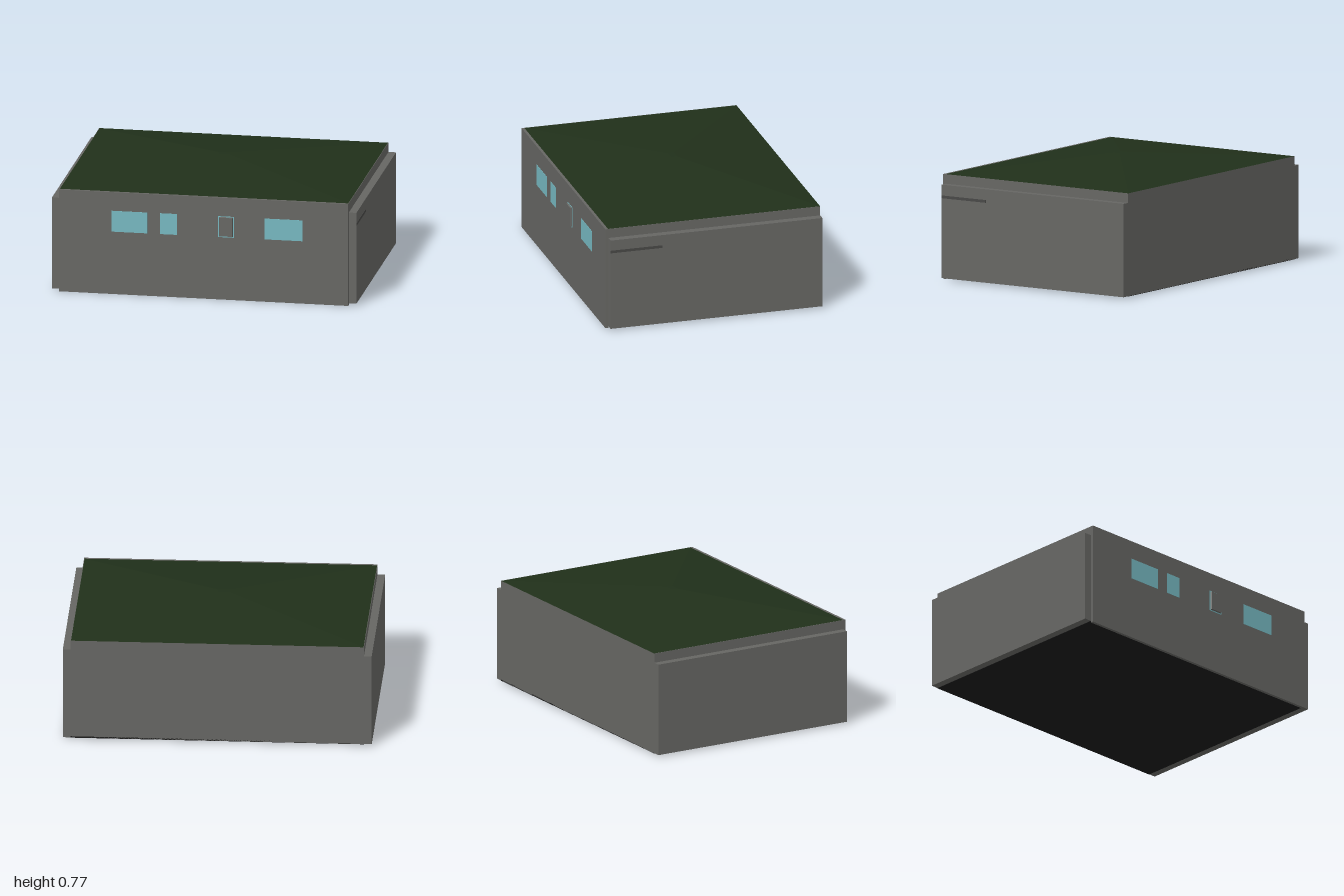
import * as THREE from 'three';

const material = (color) => new THREE.MeshStandardMaterial({ color, flatShading: true });

// Box given by its minimum and maximum corners
function block(name, min, max, mat) {
  const size = max.map((v, i) => v - min[i]);
  const mesh = new THREE.Mesh(new THREE.BoxGeometry(...size), mat);
  mesh.position.set(...max.map((v, i) => (v + min[i]) / 2));
  mesh.name = name;
  return mesh;
}

// Narrow one end of a block along the given axis (0 = x, 1 = y, 2 = z)
function taper(mesh, axis, scales) {
  const pos = mesh.geometry.attributes.position;
  for (let i = 0; i < pos.count; i++) {
    if (pos.getComponent(i, axis) <= 0) continue;
    for (let a = 0; a < 3; a++) {
      if (a !== axis) pos.setComponent(i, a, pos.getComponent(i, a) * scales[a]);
    }
  }
  mesh.geometry.computeVertexNormals();
  return mesh;
}

export function createModel() {
  const model = new THREE.Group();
  model.name = 'house';

  const wall = material(0x666663);
  const roofing = material(0x20301a);
  const glass = material(0x76b8c0);
  const dark = material(0x484846);
  const floorMat = material(0x1c1c1c);

  // Main body, and the front wall that stands slightly proud of it
  model.add(block('body', [-0.95, 0.012, -0.73], [0.95, 0.685, 0.70], wall));
  model.add(block('frontWall', [-0.95, 0, 0.698], [0.95, 0.685, 0.718], wall));

  // Lower side walls
  for (const [name, x0, x1] of [['leftSideWall', 0.95, 1], ['rightSideWall', -1, -0.95]]) {
    model.add(block(name, [x0, 0.012, -0.73], [x1, 0.623, 0.698], wall));
  }

  // Floor
  model.add(block('floor', [-0.95, 0.01, -0.73], [0.95, 0.02, 0.698], floorMat));

  // Shallow hipped roof with a tiny flat top
  model.add(taper(block('roof', [-0.947, 0.685, -0.73], [0.947, 0.77, 0.70], roofing), 1, [0.04, 1, 0.03]));

  // Front windows; the third one holds the projecting unit
  for (const [x0, x1] of [[-0.605, -0.37], [-0.285, -0.175], [0.095, 0.2], [0.4, 0.65]]) {
    model.add(block('window', [x0, 0.42, 0.71], [x1, 0.56, 0.72], glass));
  }
  model.add(taper(block('windowUnit', [0.1, 0.424, 0.715], [0.196, 0.557, 0.73], wall), 2, [0.88, 0.94, 1]));

  // Thin dark slot strip on the left side wall
  model.add(block('sideStrip', [0.99, 0.535, 0.35], [1.001, 0.553, 0.698], dark));

  return model;
}
